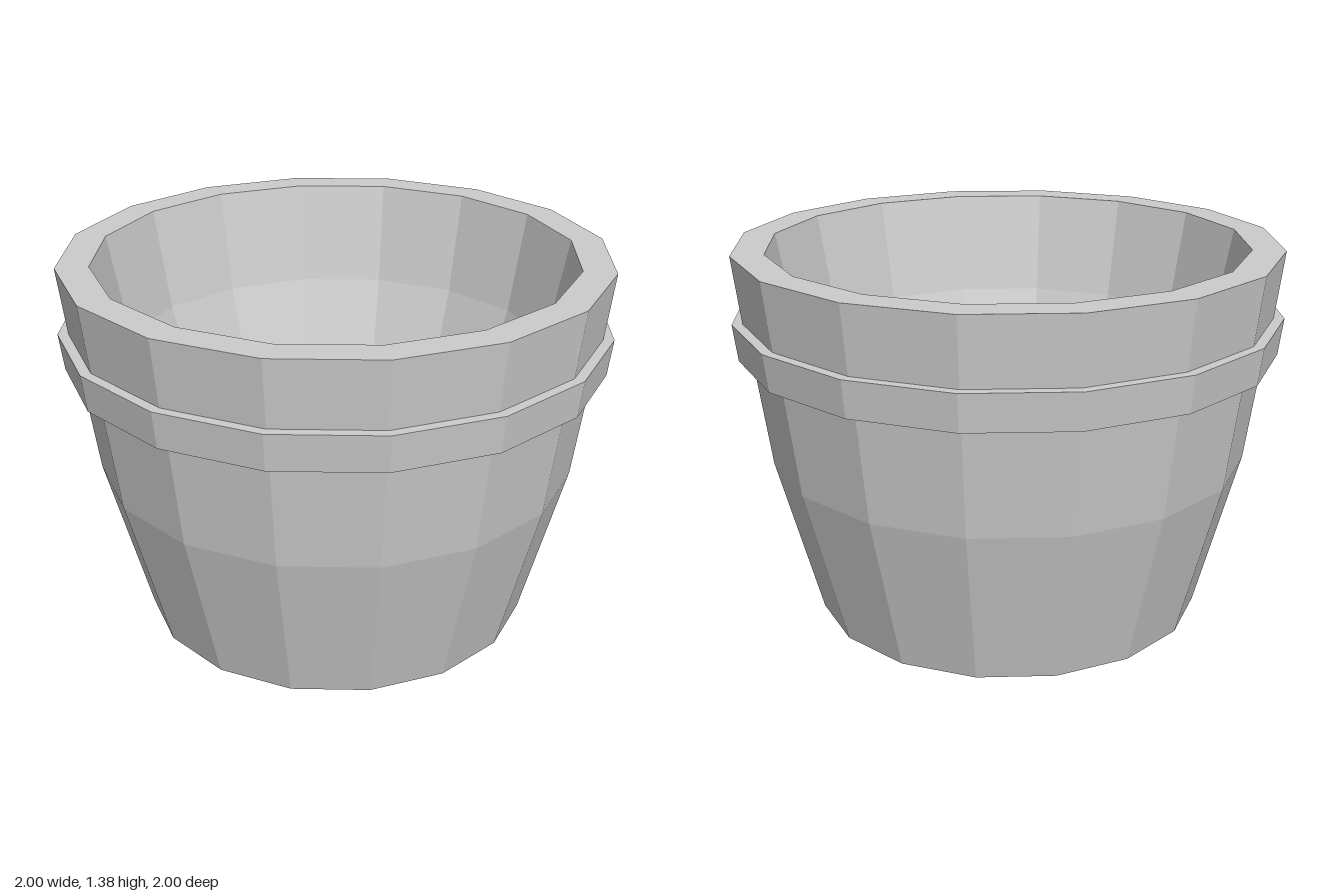
import * as THREE from 'three';

const SIDES = 16;

export function createModel() {
  const pot = new THREE.Group();
  pot.name = 'flowerPot';

  const clay = new THREE.MeshStandardMaterial({ color: 0xcccccc });
  clay.name = 'light grey';

  // Faceted ring turned from [radius, height] points; rising points face outward
  const turn = (name, points) => {
    const smooth = new THREE.LatheGeometry(points.map(([r, y]) => new THREE.Vector2(r, y)), SIDES);
    const geometry = smooth.toNonIndexed();
    geometry.computeVertexNormals();
    const mesh = new THREE.Mesh(geometry, clay);
    mesh.name = name;
    pot.add(mesh);
  };

  // Foot ring and the shallow recess beneath the floor
  turn('foot', [[0, 0.08], [0.63, 0.08], [0.65, 0], [0.72, 0]]);
  // Tapered outer wall
  turn('outerWall', [[0.72, 0], [0.88, 0.6], [0.935, 1.0]]);
  // Protruding band below the collar
  turn('band', [[0.935, 1.0], [0.983, 1.0], [1.0, 1.135], [0.962, 1.135]]);
  // Flared collar with its flat rim
  turn('collar', [[0.962, 1.135], [0.992, 1.38], [0.873, 1.38]]);
  // Inner wall, running down to the floor
  turn('innerWall', [[0.873, 1.38], [0.8, 1.0], [0.52, 0.12]]);
  turn('floor', [[0.52, 0.12], [0, 0.12]]);

  return pot;
}
